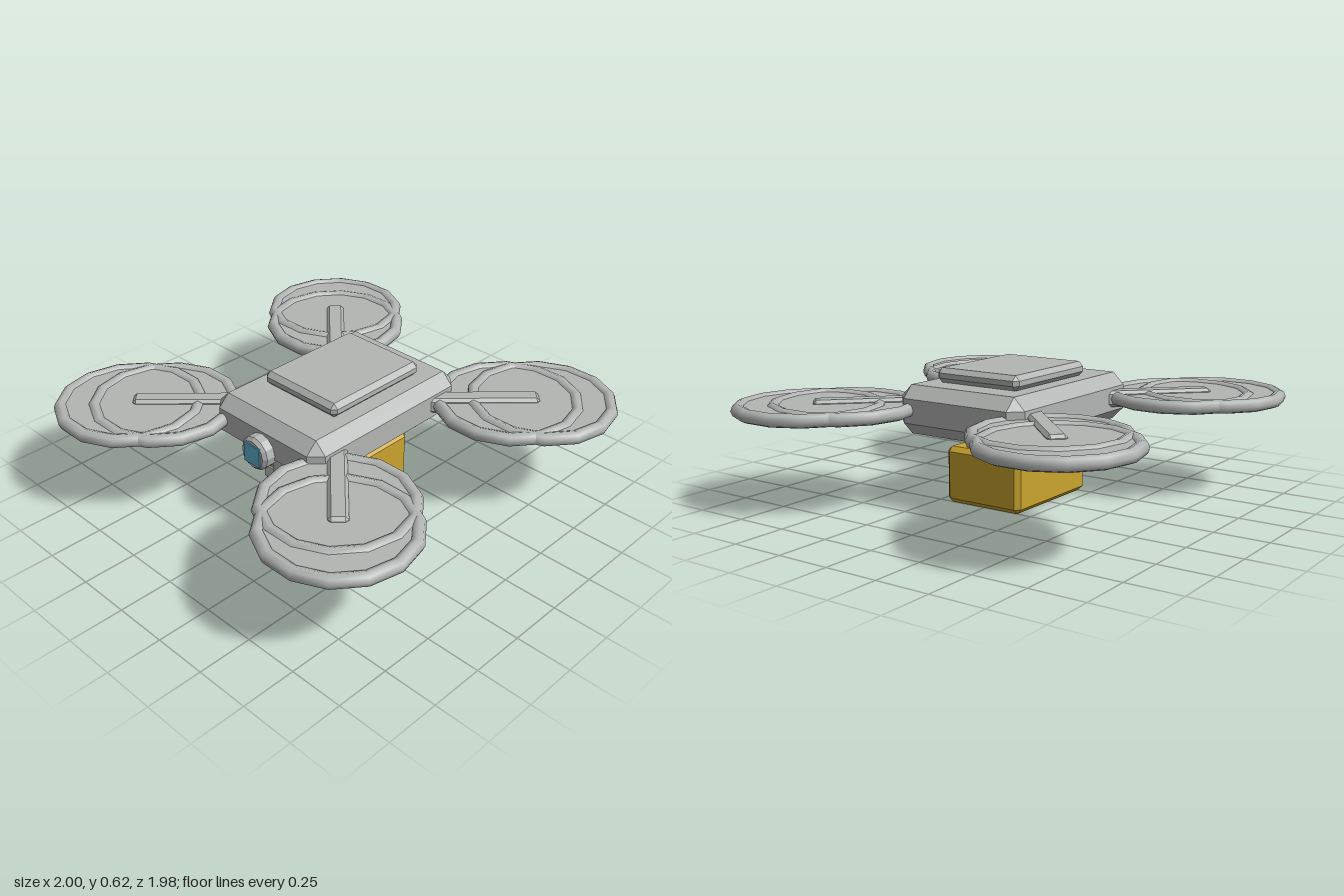
import * as THREE from 'three';
import { ConvexGeometry } from 'three/addons/geometries/ConvexGeometry.js';

const mat = (name, color) => {
  const m = new THREE.MeshStandardMaterial({ color });
  m.name = name;
  return m;
};

// Box with every edge cut off by c
function chamferBox(w, h, d, c) {
  const pts = [];
  for (const x of [-1, 1]) for (const y of [-1, 1]) for (const z of [-1, 1]) {
    for (let full = 0; full < 3; full++) {
      pts.push(new THREE.Vector3(
        x * (w / 2 - (full === 0 ? 0 : c)),
        y * (h / 2 - (full === 1 ? 0 : c)),
        z * (d / 2 - (full === 2 ? 0 : c))));
    }
  }
  return new ConvexGeometry(pts);
}

// Faceted round part with chamfered rims, axis along y
function chamferCylinder(r, h, c, sides) {
  const profile = [[0, -h / 2], [r - c, -h / 2], [r, -h / 2 + c], [r, h / 2 - c], [r - c, h / 2], [0, h / 2]];
  const g = new THREE.LatheGeometry(profile.map(p => new THREE.Vector2(...p)), sides).toNonIndexed();
  g.computeVertexNormals();
  return g;
}

export function createModel() {
  const grey = mat('shell grey', 0xb3b6b4);
  const pale = mat('pale grey', 0xc2c4c4);
  const yellow = mat('cargo yellow', 0xc9a42d);
  const blue = mat('lens blue', 0x5fb4d4);
  const red = mat('signal red', 0xcf4338);
  const green = mat('signal green', 0x70d09a);

  const model = new THREE.Group();
  model.name = 'quadDrone';
  const add = (name, geo, material, x, y, z, parent = model) => {
    const m = new THREE.Mesh(geo, material);
    m.name = name;
    m.position.set(x, y, z);
    parent.add(m);
    return m;
  };

  // Fuselage
  add('body', chamferBox(0.66, 0.22, 0.92, 0.055), grey, 0, 0.445, -0.005);
  add('topHatch', chamferBox(0.44, 0.067, 0.55, 0.022), grey, 0, 0.588, -0.037);
  add('bellyPlate', chamferBox(0.37, 0.06, 0.55, 0.015), grey, 0, 0.325, 0.095);

  // Nose camera
  add('cameraHousing', chamferCylinder(0.08, 0.09, 0.015, 12), grey, 0, 0.41, 0.467).rotation.x = Math.PI / 2;
  add('cameraLens', new THREE.BoxGeometry(0.095, 0.095, 0.008), blue, 0, 0.41, 0.513);

  // Cargo
  add('cargoMount', chamferCylinder(0.09, 0.13, 0.013, 12), grey, 0, 0.255, 0.28);
  add('cargoBox', chamferBox(0.4, 0.26, 0.55, 0.022), yellow, 0, 0.13, 0.003);
  add('cargoStripe', new THREE.BoxGeometry(0.365, 0.06, 0.009), pale, 0, 0.132, 0.282);

  // Four arms, each with a pair of overlapping ducted rotors and two lamps
  const armGeo = chamferBox(0.085, 0.075, 0.7, 0.014);
  const ringGeo = new THREE.TorusGeometry(0.314, 0.031, 8, 14).rotateX(Math.PI / 2);
  const discGeo = new THREE.CylinderGeometry(0.314, 0.314, 0.036, 14).rotateY(Math.PI / 2);
  const lampGeo = new THREE.BoxGeometry(0.055, 0.055, 0.055);
  for (const sx of [-1, 1]) for (const sz of [-1, 1]) {
    const unit = new THREE.Group();
    unit.name = (sz > 0 ? 'front' : 'back') + (sx > 0 ? 'Left' : 'Right') + 'Arm';
    model.add(unit);
    const mid = 0.565 * Math.SQRT1_2;
    add('armBeam', armGeo, grey, sx * mid, 0.447, sz * mid, unit).rotation.y = Math.atan2(sx, sz);
    const lamp = sx < 0 ? red : sz > 0 ? green : pale;
    for (const p of [0.548, 0.655]) {
      add('rotorRing', ringGeo, grey, sx * p, 0.449, sz * p, unit);
      add('rotorDisc', discGeo, grey, sx * p, p > 0.6 ? 0.449 : 0.448, sz * p, unit);
      add('lamp', lampGeo, lamp, sx * p, 0.392, sz * p, unit);
    }
  }
  return model;
}
